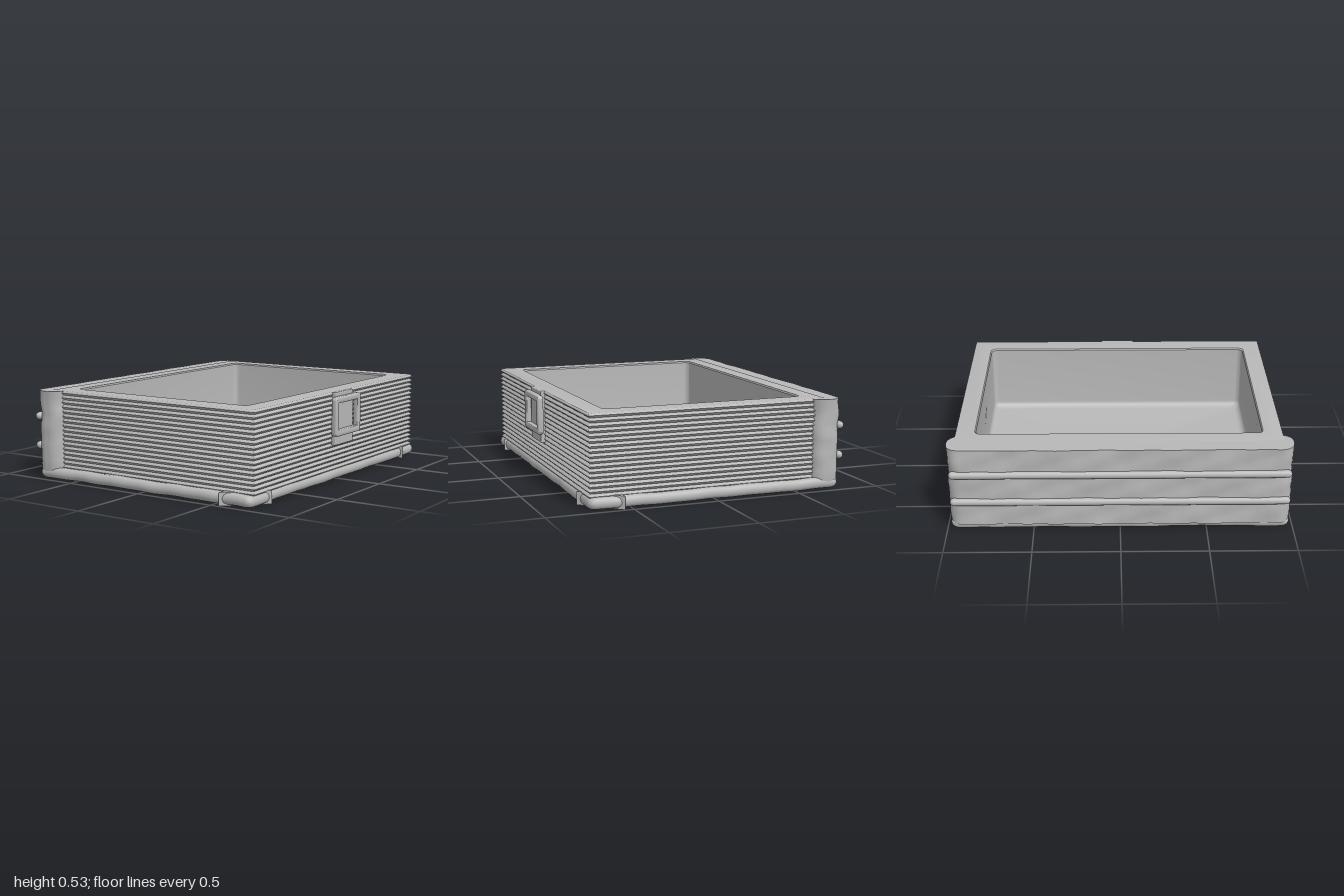
import * as THREE from 'three';
import { toCreasedNormals } from 'three/addons/utils/BufferGeometryUtils.js';
import { RoundedBoxGeometry } from 'three/addons/geometries/RoundedBoxGeometry.js';

const grey = new THREE.MeshStandardMaterial({ color: 0xb8b8b8 });
grey.name = 'plain grey';

function part(group, name, geometry, x = 0, y = 0, z = 0) {
  const mesh = new THREE.Mesh(geometry, grey);
  mesh.name = name;
  mesh.position.set(x, y, z);
  group.add(mesh);
  return mesh;
}

// Rounded rectangle, counter-clockwise from above, with subdivided sides
function ring({ x = 0, z = 0, hx, hz, r, y }, sides) {
  const corners = [[1, 1], [-1, 1], [-1, -1], [1, -1]];
  const arc = 6, pts = [];
  const corner = (k, i) => {
    const a = (k + i / arc) * Math.PI / 2;
    const [sx, sz] = corners[k];
    return new THREE.Vector3(x + sx * (hx - r) + r * Math.cos(a), y, z - sz * (hz - r) - r * Math.sin(a));
  };
  for (let k = 0; k < 4; k++) {
    for (let i = 0; i <= arc; i++) pts.push(corner(k, i));
    const from = corner(k, arc), to = corner((k + 1) % 4, 0);
    for (let i = 1; i < sides; i++) pts.push(from.clone().lerp(to, i / sides));
  }
  return pts;
}

// Skin joining a stack of rings, optionally displaced by a rule
function loft(specs, sides = 1, warp = null, crease = 0.6) {
  const rings = specs.map(s => ring(s, sides));
  if (warp) rings.forEach(points => points.forEach(warp));
  const n = rings[0].length, pos = [], idx = [];
  rings.forEach(points => points.forEach(p => pos.push(p.x, p.y, p.z)));
  for (let i = 0; i < rings.length - 1; i++) {
    for (let j = 0; j < n; j++) {
      const a = i * n + j, b = i * n + (j + 1) % n;
      idx.push(a, b, b + n, a, b + n, a + n);
    }
  }
  const g = new THREE.BufferGeometry();
  g.setAttribute('position', new THREE.Float32BufferAttribute(pos, 3));
  g.setIndex(idx);
  return toCreasedNormals(g, crease);
}

// Gentle hand-worn waviness
const wave = (a, b) => (Math.sin(a * 9 + b * 4) + Math.sin(a * 17 - b * 11 + 2) + Math.sin(a * 29 + b * 7 + 1)) / 3;

function extrude(shape, depth) {
  const g = new THREE.ExtrudeGeometry(shape, { depth, bevelEnabled: false, curveSegments: 32 });
  return g.rotateX(-Math.PI / 2);
}

export function createModel() {
  const model = new THREE.Group();
  model.name = 'bookBox';

  // Lower cover: worn slab with rounded rim
  const slab = (inset, y, s = 1) => ({ x: -0.008, hx: (0.755 - inset) * s, hz: (0.98 - inset) * s, r: 0.035 * s, y });
  const coverRings = [0, 0.2, 0.4, 0.6, 0.8].map(s => slab(0.03, 0.006, s));
  for (let i = 0; i <= 8; i++) {
    const a = -Math.PI / 2 + i / 8 * Math.PI;
    coverRings.push(slab(0.025 * (1 - Math.cos(a)), 0.038 + 0.032 * Math.sin(a)));
  }
  coverRings.push(slab(0.03, 0.07, 0.5), slab(0.03, 0.07, 0));
  part(model, 'lowerCover', loft(coverRings, 28, p => {
    const { x, z } = p;
    p.x += 0.006 * wave(z, 0.3) * Math.sign(x) * (Math.abs(x) > 0.68 ? 1 : 0);
    p.z += 0.006 * wave(x, 0.8) * Math.sign(z) * (Math.abs(z) > 0.9 ? 1 : 0);
    p.y += 0.004 * wave(x, z);
  }, 0.8));

  // Page block: ridged outside, hollow inside with a filleted floor
  const pages = [];
  const ridges = 17, steps = 4, low = 0.06, high = 0.53;
  for (let i = 0; i <= ridges * steps; i++) {
    const inset = 0.014 * (1 - Math.abs(Math.sin(i / steps * Math.PI)));
    pages.push({ x: 0.03, z: -0.005, hx: 0.71 - inset, hz: 0.94 - inset, r: 0.002, y: low + (high - low) * i / (ridges * steps) });
  }
  pages.push({ x: 0.03, z: -0.005, hx: 0.708, hz: 0.938, r: 0.002, y: high });
  const well = (inset, y, r) => ({ x: 0.02, z: -0.005, hx: 0.6 - inset, hz: 0.83 - inset, r, y });
  pages.push(well(0, high, 0.035), well(0.006, high - 0.008, 0.035));
  for (let i = 0; i <= 6; i++) {
    const a = i / 6 * Math.PI / 2;
    pages.push(well(0.006 + 0.04 * (1 - Math.cos(a)), 0.15 - 0.04 * Math.sin(a), 0.035));
  }
  pages.push({ x: 0.02, z: -0.005, hx: 0, hz: 0, r: 0, y: 0.11 });
  part(model, 'pageBlock', loft(pages));

  // Spine: tall rounded bar, slightly wavy
  const spineRing = (y, s = 1) => ({ x: -0.69, hx: 0.088 * s, hz: 0.982 * s, r: 0.075 * s, y });
  const spineRings = [];
  for (let i = 0; i <= 14; i++) spineRings.push(spineRing(0.045 + 0.482 * i / 14));
  spineRings.push(spineRing(0.527, 0));
  part(model, 'spine', loft(spineRings, 30, p => {
    const outer = p.x < -0.73 || Math.abs(p.z) > 0.93 ? 1 : 0;
    p.x += 0.007 * wave(p.z, p.y * 4) * outer;
    p.z += 0.005 * wave(p.y * 2, p.x) * Math.sign(p.z) * outer;
  }));

  // Raised spine bands
  for (const y of [0.195, 0.37]) {
    const band = new THREE.CapsuleGeometry(0.023, 1.9, 8, 16).rotateX(Math.PI / 2);
    part(model, 'spineBand', band, -0.775, y, 0);
  }

  // Triangular corner guards through the cover
  for (const side of [1, -1]) {
    const shape = new THREE.Shape();
    shape.moveTo(0.55, -side * 0.995);
    shape.lineTo(0.55, -side * 0.79);
    shape.lineTo(0.76, -side * 0.79);
    part(model, 'cornerGuard', extrude(shape, 0.076));
  }

  // Clasp: strap plate and open frame
  part(model, 'claspStrap', new RoundedBoxGeometry(0.03, 0.314, 0.21, 3, 0.006), 0.746, 0.372, -0.003);
  const frame = new THREE.Shape();
  const box = (path, w, h, r) => {
    path.moveTo(w, h - r);
    path.absarc(w - r, h - r, r, 0, Math.PI / 2);
    path.absarc(r - w, h - r, r, Math.PI / 2, Math.PI);
    path.absarc(r - w, r - h, r, Math.PI, Math.PI * 1.5);
    path.absarc(w - r, r - h, r, Math.PI * 1.5, Math.PI * 2);
    path.closePath();
    return path;
  };
  box(frame, 0.139, 0.107, 0.012);
  frame.holes.push(box(new THREE.Path(), 0.122, 0.088, 0.004));
  const frameGeometry = new THREE.ExtrudeGeometry(frame, { depth: 0.018, bevelThickness: 0.009, bevelSize: 0.009, bevelSegments: 4, curveSegments: 6 });
  part(model, 'claspFrame', toCreasedNormals(frameGeometry.rotateY(Math.PI / 2), 0.6), 0.764, 0.39, -0.003);

  // Round inlays with a lens slot, inside the well and underneath
  const disc = new THREE.Shape().absarc(0, 0, 0.12, 0, Math.PI * 2);
  disc.holes.push(new THREE.Path().absellipse(0, 0, 0.025, 0.053, 0, Math.PI * 2));
  part(model, 'floorInlay', extrude(disc, 0.005), -0.05, 0.109, -0.04);
  part(model, 'undersideInlay', extrude(disc, 0.008), -0.05, 0, -0.04);

  return model;
}
